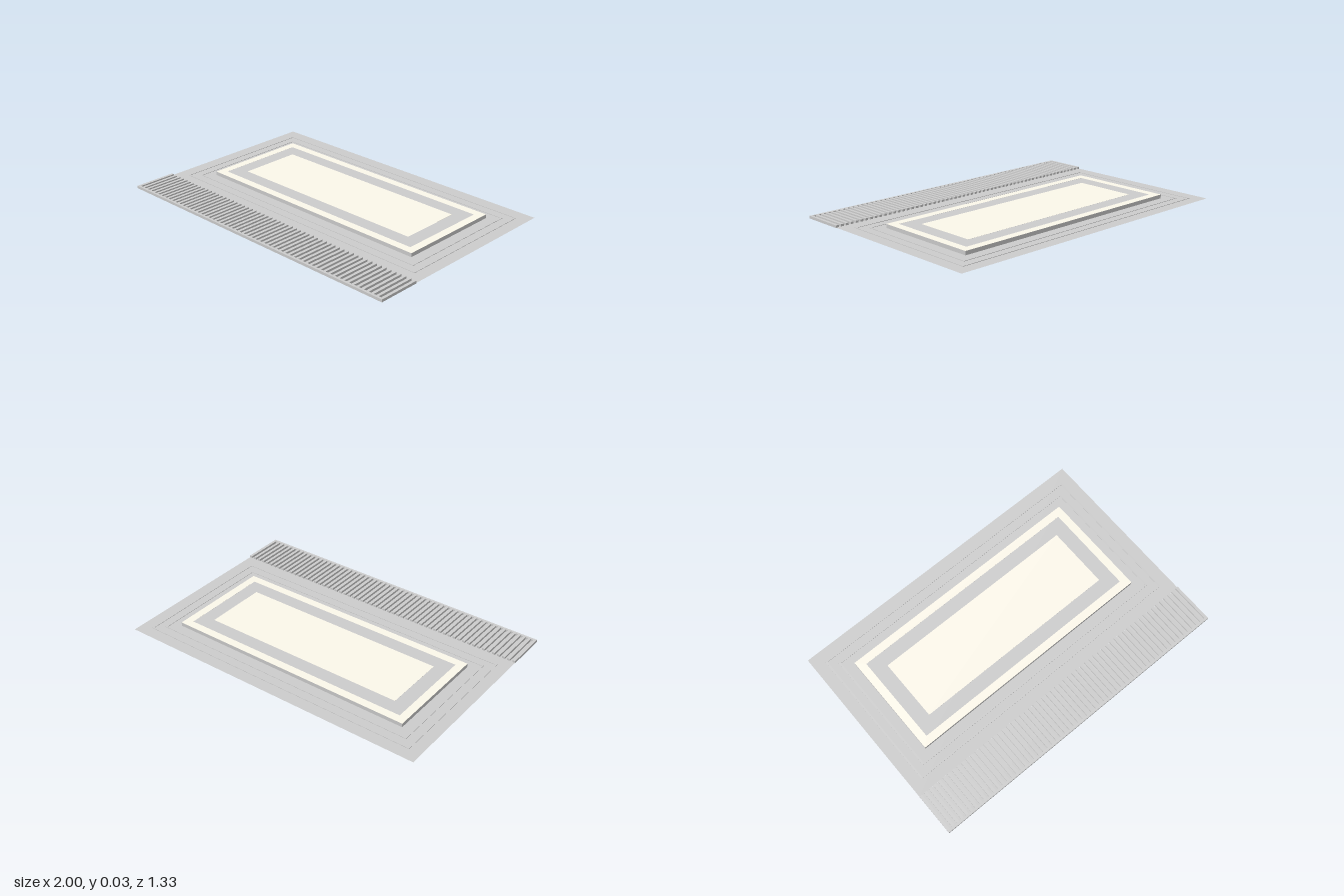
import * as THREE from 'three';

const grey = new THREE.MeshStandardMaterial({ color: 0xcccccc });
const greyThin = new THREE.MeshStandardMaterial({ color: 0xcccccc, side: THREE.DoubleSide });
const cream = new THREE.MeshStandardMaterial({ color: 0xfbf7ea });

const BED_Z = -0.1335; // centre of the main bed, behind the front grille

function add(parent, name, geometry, material, x, y, z) {
  const mesh = new THREE.Mesh(geometry, material);
  mesh.name = name;
  mesh.position.set(x, y, z);
  parent.add(mesh);
}

// Box given by its width, y range and z range
function box(parent, name, w, y0, y1, z0, z1, material = grey, x = 0) {
  add(parent, name, new THREE.BoxGeometry(w, y1 - y0, z1 - z0), material,
    x, (y0 + y1) / 2, (z0 + z1) / 2);
}

// Thin level sheet
function sheet(parent, name, w, y, z0, z1) {
  const geometry = new THREE.PlaneGeometry(w, z1 - z0).rotateX(-Math.PI / 2);
  add(parent, name, geometry, greyThin, 0, y, (z0 + z1) / 2);
}

function rectangle(Type, hx, hz) {
  return new Type([[-hx, -hz], [hx, -hz], [hx, hz], [-hx, hz]].map(([x, y]) => new THREE.Vector2(x, y)));
}

// Rectangular frame lying flat around the bed centre
function frame(parent, name, hx, hz, width, y0, y1, material = grey) {
  const shape = rectangle(THREE.Shape, hx, hz);
  shape.holes.push(rectangle(THREE.Path, hx - width, hz - width));
  const geometry = new THREE.ExtrudeGeometry(shape, { depth: y1 - y0, bevelEnabled: false });
  geometry.rotateX(-Math.PI / 2);
  add(parent, name, geometry, material, 0, y0, BED_Z);
}

export function createModel() {
  const model = new THREE.Group();
  model.name = 'lowPlatform';

  // Thin base sheet
  sheet(model, 'baseSheet', 2, 0.003, -0.667, 0.4);

  // Fine borders around the slab, showing above and below the sheet
  for (const inset of [0.073, 0.13]) {
    frame(model, 'border', 1 - inset, 0.533 - inset, 0.01, 0.0005, 0.0055);
  }

  // Raised slab with cream edge and inset panel
  box(model, 'slab', 1.6, 0.001, 0.0265, BED_Z - 0.335, BED_Z + 0.335);
  frame(model, 'slabEdge', 0.8, 0.335, 0.05, 0.0265, 0.027, cream);
  box(model, 'centrePanel', 1.32, 0.026, 0.027, BED_Z - 0.197, BED_Z + 0.197, cream);

  // Cream strips on the underside
  for (const x of [-0.525, -0.175, 0.175, 0.525]) {
    box(model, 'undersideStrip', 0.1, 0.0002, 0.001, BED_Z - 0.16, BED_Z + 0.16, cream, x);
  }

  // Front grille: rail, closely spaced slats and a thin floor
  const grille = new THREE.Group();
  grille.name = 'frontGrille';
  model.add(grille);
  box(grille, 'rail', 2, 0, 0.016, 0.652, 0.667);
  const count = 60, slat = 0.018;
  for (let i = 0; i < count; i++) {
    const x = -1 + slat / 2 + i * (2 - slat) / (count - 1);
    box(grille, 'slat', slat, 0, 0.016, 0.4, 0.652, grey, x);
  }
  sheet(grille, 'grilleFloor', 2, 0.002, 0.4, 0.652);

  return model;
}
